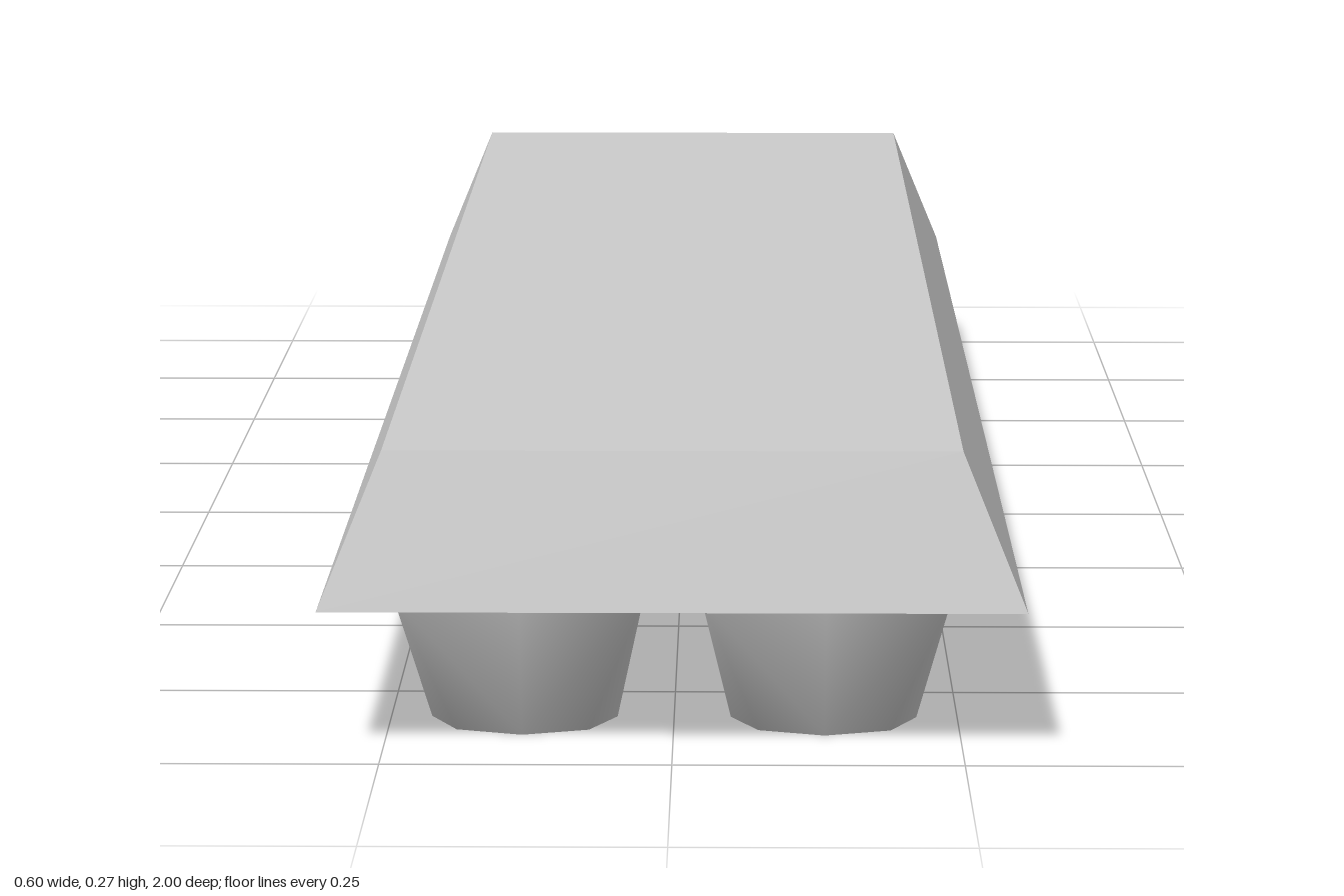
import * as THREE from 'three';

const material = new THREE.MeshStandardMaterial({ color: 0xcccccc, side: THREE.DoubleSide });

// Lid: a shallow tapered box, open underneath
function createLid() {
  const geometry = new THREE.BoxGeometry(0.604, 0.134, 2);
  const p = geometry.attributes.position;
  for (let i = 0; i < p.count; i++) {
    if (p.getY(i) > 0) p.setXYZ(i, Math.sign(p.getX(i)) * 0.247, p.getY(i), Math.sign(p.getZ(i)) * 0.97);
  }
  const index = Array.from(geometry.index.array);
  index.splice(18, 6); // bottom face
  geometry.setIndex(index);
  geometry.clearGroups();
  const flat = geometry.toNonIndexed();
  flat.computeVertexNormals();
  const lid = new THREE.Mesh(flat, material);
  lid.name = 'lid';
  lid.position.y = 0.2;
  return lid;
}

// Cup: octagonal floor opening out into a rectangular cell rim.
// Each ring: [height, side half width x, z, corner half width x, z]
const RINGS = [
  [0, 0.082, 0.064, 0.058, 0.046],
  [0.133, 0.11, 0.117, 0.107, 0.114],
  [0.22, 0.13, 0.167, 0.13, 0.167],
];

function createCup(cx, cz) {
  const positions = [cx, 0, cz];
  const index = [];
  RINGS.forEach(([y, sx, sz, kx, kz], r) => {
    for (let i = 0; i < 8; i++) {
      const a = (i * Math.PI) / 4;
      const corner = i % 2 === 1;
      const ux = Math.sign(Math.round(Math.cos(a) * 2));
      const uz = Math.sign(Math.round(Math.sin(a) * 2));
      const z = cz + uz * (corner ? kz : sz);
      // outer rims stay inside the lid
      positions.push(cx + ux * (corner ? kx : sx), y, THREE.MathUtils.clamp(z, -0.978, 0.978));
      const p = 1 + r * 8 + i;
      const q = 1 + r * 8 + ((i + 1) % 8);
      if (r === 0) index.push(0, p, q);
      if (r < RINGS.length - 1) {
        // diagonals run towards the rim corners
        if (corner) index.push(p, p + 8, q, q, p + 8, q + 8);
        else index.push(p, q + 8, q, p, p + 8, q + 8);
      }
    }
  });
  const geometry = new THREE.BufferGeometry();
  geometry.setAttribute('position', new THREE.Float32BufferAttribute(positions, 3));
  geometry.setIndex(index);
  geometry.computeVertexNormals();
  const cup = new THREE.Mesh(geometry, material);
  cup.name = 'cup';
  return cup;
}

export function createModel() {
  const model = new THREE.Group();
  model.name = 'eggCarton';
  model.add(createLid());

  // Tray: two rows of six cups
  const tray = new THREE.Group();
  tray.name = 'tray';
  for (const side of [-1, 1]) {
    for (let i = 0; i < 6; i++) tray.add(createCup(side * 0.132, (i - 2.5) * 0.335));
  }
  model.add(tray);
  return model;
}
